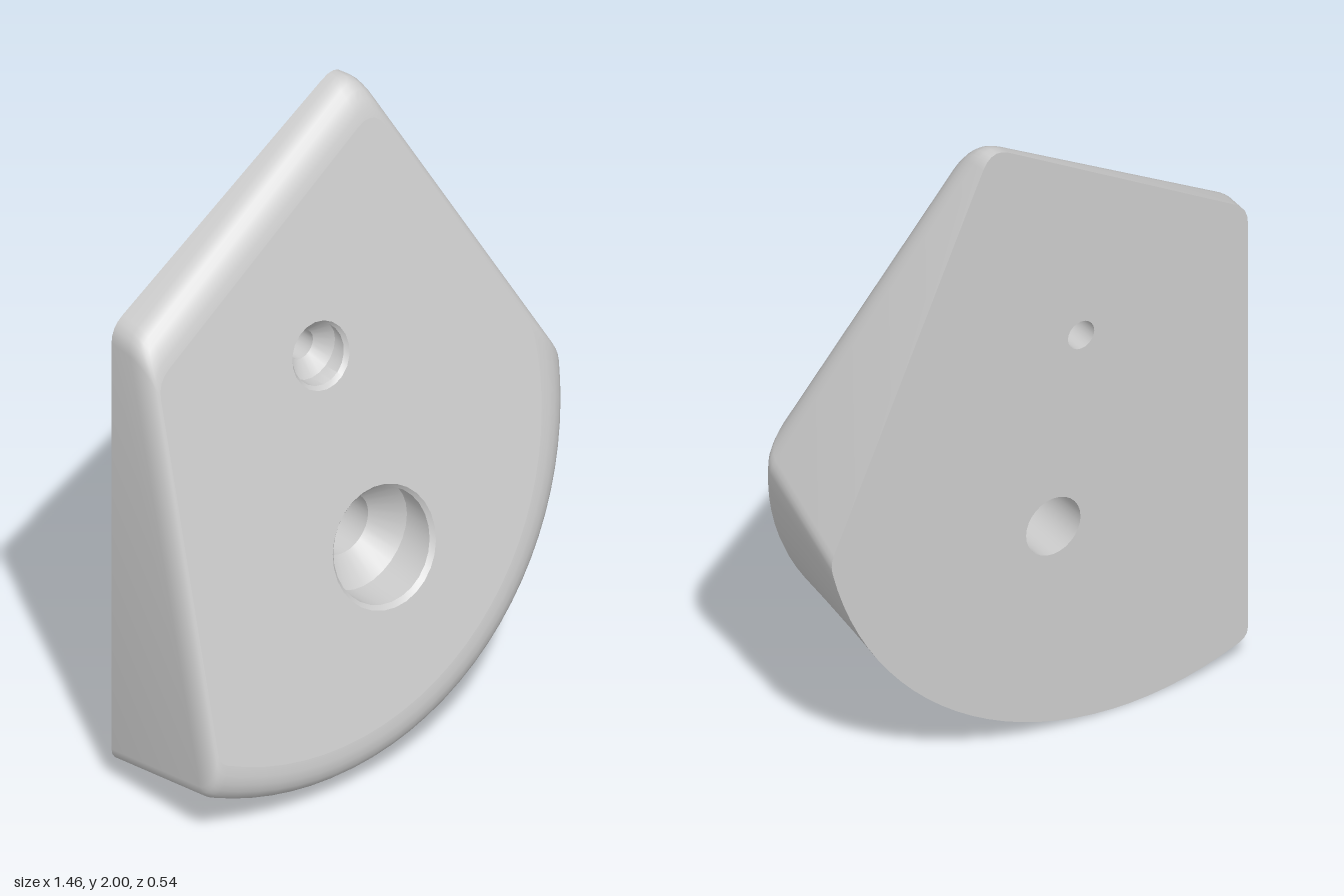
import * as THREE from 'three';
import { toCreasedNormals } from 'three/addons/utils/BufferGeometryUtils.js';

const BACK = -0.26;
const CENTRE = new THREE.Vector2(-0.3, 1.05), RADIUS = 1.05;
// Sloping front plane
const frontZ = (x, y) => 0.33 + 0.09 * x - 0.25 * y;
// Straight sides: outward normal, distance, draft per unit depth, fillet width
const LEFT = { n: new THREE.Vector2(-1, 0), c: 0.7, draft: 0.09, fillet: 0.03 };
const RIGHT = { n: new THREE.Vector2(0.908, 0.419), c: 1.007, draft: 0.12, fillet: 0.045 };
const TOP = { n: new THREE.Vector2(-0.505, 0.863), c: 1.657, draft: 0, fillet: 0.1 };
const ARC = { draft: -0.13, fillet: 0.11 };
const DROP = 0.078;
const HOLES = [
  { name: 'largeBoltHole', x: -0.035, y: 0.685, rim: 0.18, bore: 0.168, ledge: 0.07, pin: 0.093, seat: -0.01, sides: 28 },
  { name: 'smallScrewHole', x: -0.13, y: 1.29, rim: 0.1, bore: 0.09, ledge: -0.042, pin: 0.045, seat: -0.085, sides: 20 },
];

// Outline at depth z, shrunk by a fraction k of each side's fillet, anticlockwise
function outline(z, k) {
  const dist = (s) => s.c + s.draft * (z - BACK) - k * s.fillet;
  const r = RADIUS + ARC.draft * (z - BACK) - k * ARC.fillet;
  const meet = (a, b) => {
    const ca = dist(a), cb = dist(b), det = a.n.x * b.n.y - a.n.y * b.n.x;
    return new THREE.Vector2((ca * b.n.y - cb * a.n.y) / det, (a.n.x * cb - b.n.x * ca) / det);
  };
  const meetArc = (s, sign) => {
    const d = dist(s) - s.n.dot(CENTRE);
    const h = sign * Math.sqrt(r * r - d * d);
    return new THREE.Vector2(CENTRE.x + s.n.x * d - s.n.y * h, CENTRE.y + s.n.y * d + s.n.x * h);
  };
  const tl = meet(TOP, LEFT), tip = meet(RIGHT, TOP);
  const bl = meetArc(LEFT, 1), br = meetArc(RIGHT, -1);
  const toward = (a, b, d) => b.clone().sub(a).setLength(d).add(a);
  const round = (a, corner, b, n) => new THREE.QuadraticBezierCurve(a, corner, b).getPoints(n);
  const angle = (p) => Math.atan2(p.y - CENTRE.y, p.x - CENTRE.x);
  const a0 = angle(bl) + 0.03, a1 = angle(br) - 0.03;
  const arc = [];
  for (let i = 0; i <= 28; i++) {
    const a = a0 + (a1 - a0) * i / 28;
    arc.push(new THREE.Vector2(CENTRE.x + r * Math.cos(a), CENTRE.y + r * Math.sin(a)));
  }
  return [
    ...round(toward(tl, tip, 0.05), tl, toward(tl, bl, 0.05), 4),
    ...round(toward(bl, tl, 0.03), bl, arc[0], 3),
    ...arc.slice(1, -1),
    ...round(arc[arc.length - 1], br, toward(br, tip, 0.03), 3),
    ...round(toward(tip, br, 0.07), tip, toward(tip, tl, 0.07), 5),
  ];
}

// Ring a given drop below the front plane
function frontRing(k, drop) {
  return outline(BACK, k).map((start, i) => {
    let p = start, z = BACK;
    for (let n = 0; n < 6; n++) {
      z = frontZ(p.x, p.y) - drop;
      p = outline(z, k)[i];
    }
    return new THREE.Vector3(p.x, p.y, frontZ(p.x, p.y) - drop);
  });
}

// Skin between successive closed rings
function loft(rings, crease) {
  const pos = [];
  for (let j = 0; j + 1 < rings.length; j++) {
    const a = rings[j], b = rings[j + 1];
    for (let i = 0; i < a.length; i++) {
      const n = (i + 1) % a.length;
      for (const v of [a[i], a[n], b[n], a[i], b[n], b[i]]) pos.push(v.x, v.y, v.z);
    }
  }
  const g = new THREE.BufferGeometry();
  g.setAttribute('position', new THREE.Float32BufferAttribute(pos, 3));
  return toCreasedNormals(g, crease);
}

function circle(h, radius, zOf) {
  return Array.from({ length: h.sides }, (_, i) => {
    const a = i / h.sides * Math.PI * 2;
    const x = h.x + radius * Math.cos(a), y = h.y + radius * Math.sin(a);
    return new THREE.Vector3(x, y, zOf(x, y));
  });
}

// Flat face with the holes cut out, laid onto z = zOf(x, y)
function face(ring, holeKey, zOf, flip) {
  const flat = (pts) => pts.map((p) => new THREE.Vector2(p.x, p.y));
  const shape = new THREE.Shape(flat(ring));
  for (const h of HOLES) shape.holes.push(new THREE.Path(flat(circle(h, h[holeKey], zOf)).reverse()));
  const g = new THREE.ShapeGeometry(shape);
  const p = g.attributes.position;
  for (let i = 0; i < p.count; i++) p.setZ(i, zOf(p.getX(i), p.getY(i)));
  if (flip) g.index.array.reverse();
  g.computeVertexNormals();
  return g;
}

export function createModel() {
  const group = new THREE.Group();
  group.name = 'wedgeHold';
  const material = new THREE.MeshStandardMaterial({ color: 0xcccccc });
  const add = (name, geometry) => {
    const mesh = new THREE.Mesh(geometry, material);
    mesh.name = name;
    group.add(mesh);
  };

  // Drafted walls and rounded front edge
  const backRing = outline(BACK, 0).map((p) => new THREE.Vector3(p.x, p.y, BACK));
  const rings = [backRing];
  for (let s = 0; s <= 6; s++) {
    const t = s / 6 * Math.PI / 2;
    rings.push(frontRing(1 - Math.cos(t), DROP * (1 - Math.sin(t))));
  }
  add('sideWalls', loft(rings, 0.6));

  // Front and back faces
  add('frontFace', face(rings[rings.length - 1], 'rim', frontZ, false));
  add('backFace', face(backRing, 'pin', () => BACK, true));

  // Countersunk holes: softened rim, bore, cone, through hole
  for (const h of HOLES) {
    add(h.name, loft([
      circle(h, h.rim, frontZ),
      circle(h, h.bore, (x, y) => frontZ(x, y) - 0.012),
      circle(h, h.bore, () => h.ledge),
      circle(h, h.pin, () => h.seat),
      circle(h, h.pin, () => BACK),
    ], 0.6));
  }
  return group;
}
